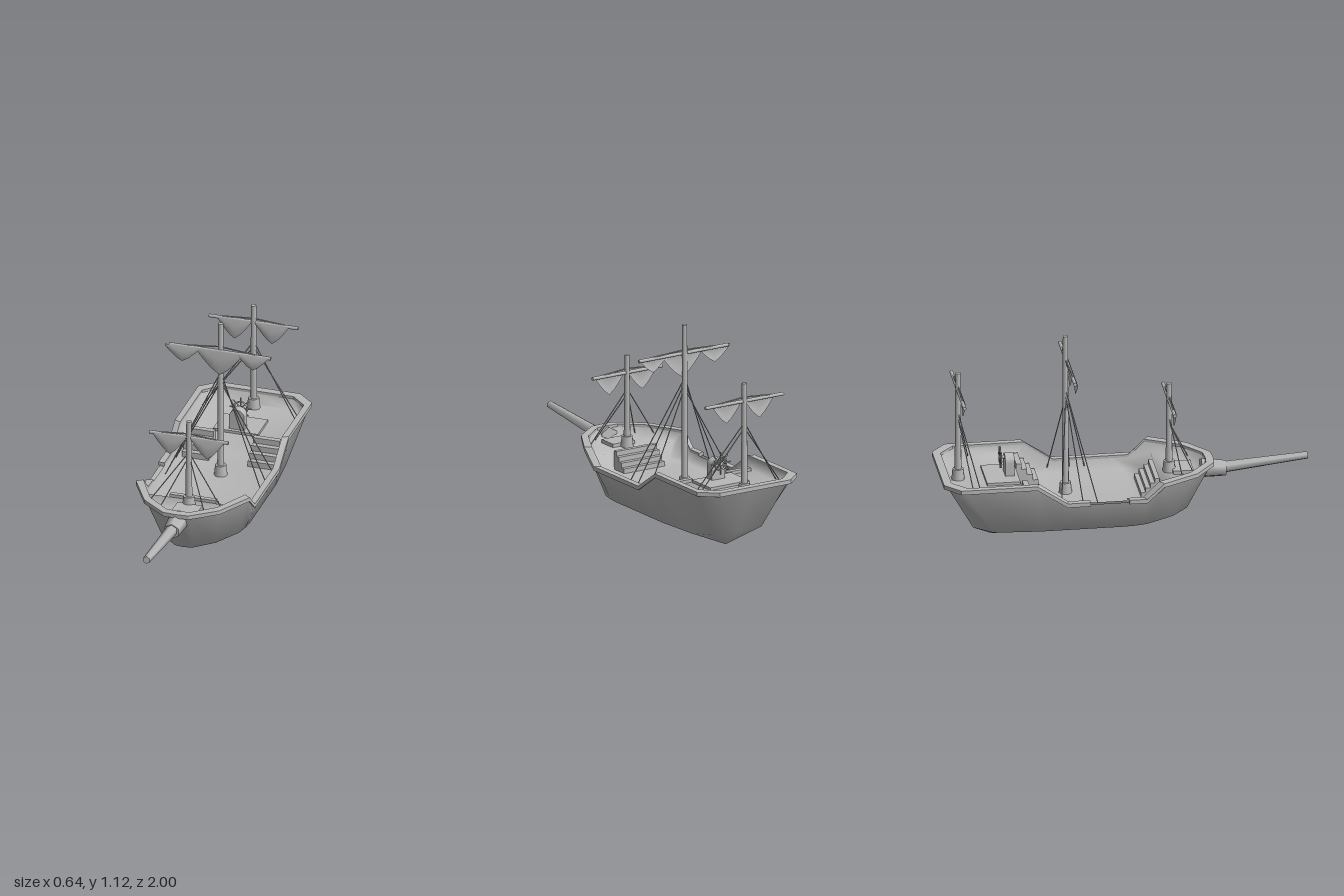
import * as THREE from 'three';

const grey = new THREE.MeshStandardMaterial({ color: 0xb8b8b8, side: THREE.DoubleSide });
grey.name = 'grey';
const V = (x, y, z) => new THREE.Vector3(x, y, z);

// Surface through rows of points, smooth or flat shaded
function loft(rows, flat = false) {
  const n = rows[0].length, index = [];
  for (let i = 0; i < rows.length - 1; i++) {
    for (let j = 0; j < n - 1; j++) {
      const a = i * n + j, b = a + 1, d = a + n, c = d + 1;
      index.push(a, d, c, a, c, b);
    }
  }
  let g = new THREE.BufferGeometry().setFromPoints(rows.flat());
  g.setIndex(index);
  if (flat) g = g.toNonIndexed();
  g.computeVertexNormals();
  return g;
}

const mirror = (p) => V(-p.x, p.y, p.z);
const ring = (half) => [...half, ...half.slice(0, -1).reverse().map(mirror)];

export function createModel() {
  const ship = new THREE.Group();
  ship.name = 'sailingShip';

  function add(name, geometry, x = 0, y = 0, z = 0) {
    const m = new THREE.Mesh(geometry, grey);
    m.name = name;
    m.position.set(x, y, z);
    ship.add(m);
    return m;
  }
  const box = (name, w, h, d, x, y, z) => add(name, new THREE.BoxGeometry(w, h, d), x, y, z);
  // Tapered round bar between two points
  function bar(name, from, to, r1, r2, sides = 8) {
    const dir = to.clone().sub(from);
    const m = add(name, new THREE.CylinderGeometry(r2, r1, dir.length(), sides));
    m.position.copy(from).addScaledVector(dir, 0.5);
    m.quaternion.setFromUnitVectors(V(0, 1, 0), dir.normalize());
  }

  // Half outlines from bow to stern: rim, chine, keel and deck edge
  const rim = [
    [0, .36, .47], [.07, .36, .465], [.205, .36, .36], [.31, .36, .17], [.31, .275, .08],
    [.31, .275, -.01], [.31, .275, -.22], [.31, .275, -.34], [.31, .385, -.5],
    [.31, .385, -.9], [.22, .385, -.98], [0, .385, -.98],
  ].map((p) => V(...p));
  const chine = [
    [0, .35], [.05, .34], [.15, .25], [.235, .1], [.25, .03], [.255, -.03],
    [.255, -.22], [.255, -.34], [.255, -.48], [.235, -.73], [.15, -.83], [0, -.84],
  ].map(([x, z]) => V(x, .11, z));
  const keel = chine.map((p) => V(0, .005, THREE.MathUtils.clamp(p.z, -.71, .09)));
  const deckEdge = [
    [0, .31, .42], [.05, .31, .41], [.155, .31, .325], [.25, .31, .185], [.225, .22, .175],
    [.262, .22, .04], [.265, .22, -.22], [.258, .22, -.555], [.27, .335, -.565],
    [.265, .335, -.86], [.185, .335, -.925], [0, .335, -.925],
  ].map((p) => V(...p));
  const grow = (pts, sx, sz, dy) => pts.map((p) => V(p.x * sx, p.y + dy, -.25 + (p.z + .25) * sz));

  // Hull, then inner walls and stepped deck as one smooth shell
  add('hull', loft([rim, chine, keel].map(ring)));
  const innerRim = grow(rim, .92, .965, 0);
  add('deckAndWalls', loft([innerRim.map(mirror), deckEdge.map(mirror), deckEdge, innerRim]));

  // Rail: unbroken on the left, with a boarding gap on the right
  function rail(name, pts, flip) {
    const rows = [
      grow(pts, .92, .965, .015), grow(pts, 1.03, 1.025, .015),
      grow(pts, 1.03, 1.025, -.008), grow(pts, .92, .965, -.008), grow(pts, .92, .965, .015),
    ];
    add(name, loft(flip ? rows.reverse().map((r) => r.map(mirror)) : rows, true));
  }
  rail('leftRail', rim, false);
  rail('rightForeRail', rim.slice(0, 6), true);
  rail('rightAftRail', rim.slice(6), true);
  for (const z of [-.005, -.221]) box('railEnd', .034, .023, .006, -.302, .2785, z);

  // Stairs between the deck levels
  function stairs(name, w, x, zLow, zHigh, yLow, yHigh) {
    const n = 4, d = (zHigh - zLow) / n;
    for (let i = 0; i < n; i++) {
      const top = yLow + (yHigh - yLow) * (i + 1) / n;
      box(name, w, top - yLow + .005, Math.abs(d), x, (top + yLow - .005) / 2, zLow + d * (i + .5));
    }
  }
  stairs('foreStairs', .26, 0, .08, .18, .22, .325);
  for (const s of [-1, 1]) stairs('aftStairs', .15, s * .185, -.44, -.56, .22, .35);

  // Hatch and helm platform
  box('foreHatch', .14, .03, .11, .01, .315, .32);
  box('helmPlatform', .25, .02, .18, 0, .34, -.66);

  // Helm pedestal with an arched top
  const arch = new THREE.Shape();
  arch.moveTo(-.042, 0);
  arch.lineTo(.042, 0);
  arch.lineTo(.042, .085);
  arch.absarc(0, .085, .042, 0, Math.PI, false);
  arch.closePath();
  add('helmPedestal', new THREE.ExtrudeGeometry(arch, { depth: .05, bevelEnabled: false, curveSegments: 8 }), 0, .34, -.64);

  // Steering wheel
  add('wheelRim', new THREE.TorusGeometry(.037, .005, 6, 16), 0, .445, -.662);
  for (let i = 0; i < 4; i++) {
    const a = i * Math.PI / 4, dx = Math.cos(a) * .062, dy = Math.sin(a) * .062;
    bar('wheelSpoke', V(-dx, .445 - dy, -.662), V(dx, .445 + dy, -.662), .004, .004, 6);
  }
  bar('wheelAxle', V(0, .445, -.67), V(0, .445, -.63), .01, .01);

  // Gathered sail: a pointed scallop hanging from the yard
  function sail(cx, y, z, halfWidth, depth) {
    const us = [-1, -.7, -.35, 0, .35, .7, 1], drop = [.12, .45, .78, 1, .78, .45, .12];
    const rows = [0, .35, .7, 1].map((v) => us.map((u, i) =>
      V(cx + u * halfWidth, y - drop[i] * depth * v, z + .008 * Math.sin(v * Math.PI) * (1 - u * u))));
    add('sail', loft(rows));
  }

  // Masts with collar, yard, sails and shrouds
  const masts = [
    { name: 'fore', z: .25, yardZ: 0, base: .31, top: .82, yard: .722, half: .222, rope: .62,
      sails: [[-.105, .09, .115], [.105, .09, .115]],
      ends: [[.215, .32, .3], [.13, .33, .37]] },
    { name: 'main', z: -.31, yardZ: .012, base: .22, top: 1.13, yard: .968, half: .285, rope: .82,
      sails: [[-.21, .095, .09], [0, .125, .14], [.185, .085, .085]],
      ends: [[.265, .25, -.17], [.27, .25, -.25], [.27, .25, -.37]] },
    { name: 'aft', z: -.89, yardZ: 0, base: .335, top: .95, yard: .85, half: .25, rope: .72,
      sails: [[-.105, .09, .115], [.105, .09, .115]],
      ends: [[.26, .35, -.8], [.26, .35, -.84]] },
  ];
  for (const m of masts) {
    const yz = m.z + m.yardZ;
    bar(m.name + 'Mast', V(0, m.base, m.z), V(0, m.top, m.z), .019, .014, 10);
    bar(m.name + 'Collar', V(0, m.base - .01, m.z), V(0, m.base + .06, m.z), .037, .03, 10);
    bar(m.name + 'Yard', V(-m.half, m.yard, yz), V(m.half, m.yard, yz), .01, .01);
    for (const [x, w, d] of m.sails) sail(x, m.yard + .004, yz + .011, w, d);
    m.ends.forEach(([x, y, z], i) => {
      for (const s of [-1, 1]) {
        bar('shroud', V(s * x, y, z), V(s * .008, m.rope - i * .03, m.z), .003, .003, 5);
      }
    });
    // Lifts from the mast to the yard
    for (const s of [-1, 1]) {
      bar('yardLift', V(s * m.half * .7, m.yard + .008, yz), V(0, m.yard + .022, m.z), .004, .004, 5);
    }
  }

  // Bowsprit in its socket
  bar('bowspritSocket', V(0, .315, .42), V(0, .306, .555), .056, .045, 6);
  bar('bowsprit', V(0, .308, .5), V(0, .354, .998), .034, .021, 6);

  return ship;
}
